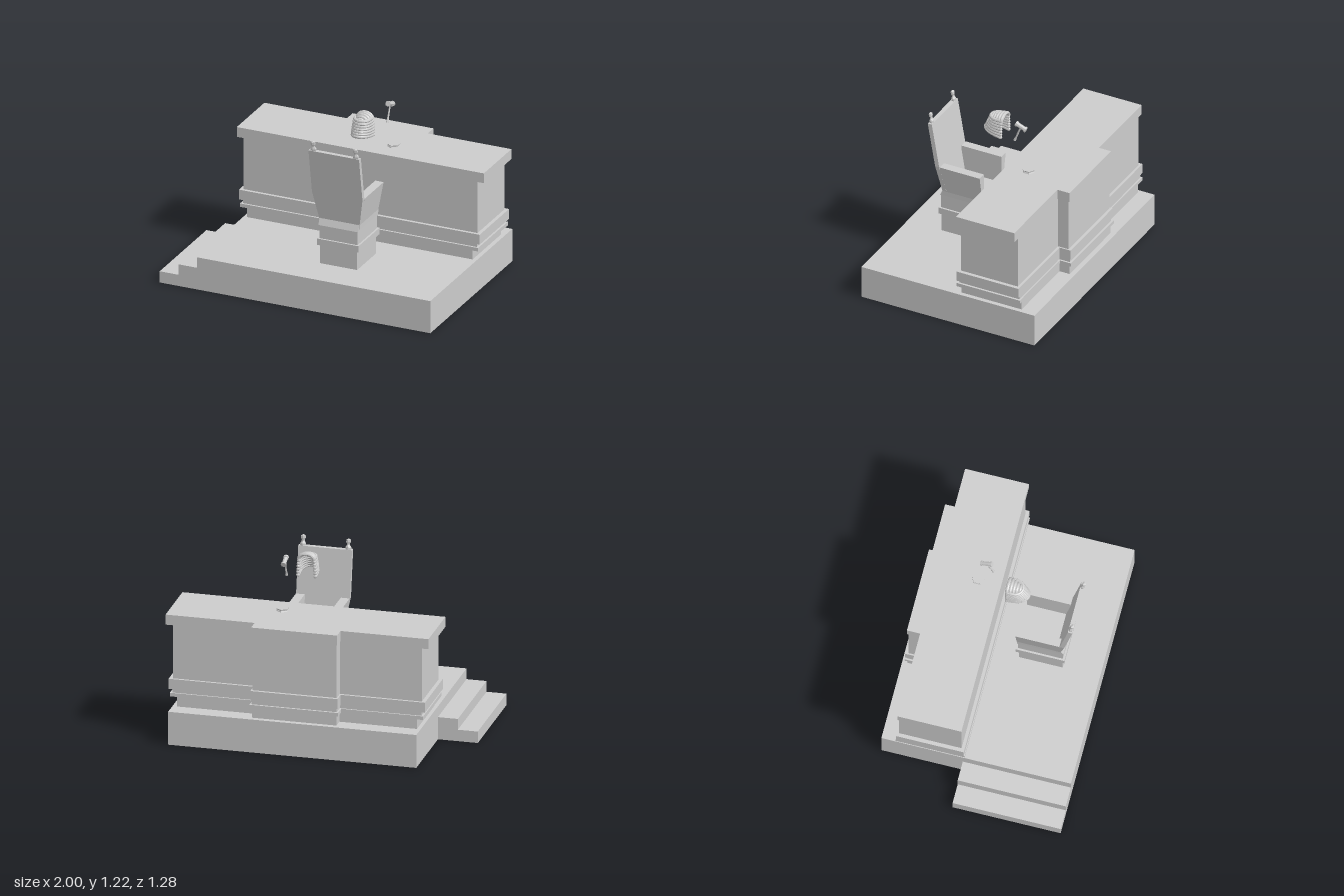
import * as THREE from 'three';

export function createModel() {
  const model = new THREE.Group();
  const stone = new THREE.MeshStandardMaterial({ color: 0xcccccc, flatShading: true });
  stone.name = 'pale grey';

  const add = (name, geometry, parent = model) => {
    const mesh = new THREE.Mesh(geometry, stone);
    mesh.name = name;
    parent.add(mesh);
    return mesh;
  };
  const group = (name, parent = model) => {
    const g = new THREE.Group();
    g.name = name;
    parent.add(g);
    return g;
  };
  // box given by its limits
  const block = (name, x0, x1, y0, y1, z0, z1, parent) =>
    add(name, new THREE.BoxGeometry(x1 - x0, y1 - y0, z1 - z0)
      .translate((x0 + x1) / 2, (y0 + y1) / 2, (z0 + z1) / 2), parent);
  const extrude = (points, depth) => new THREE.ExtrudeGeometry(
    new THREE.Shape(points.map(([x, y]) => new THREE.Vector2(x, y))),
    { depth, bevelEnabled: false });

  // platform with two side steps
  const platform = group('platform');
  block('floor', -0.73, 0.95, 0, 0.23, -0.64, 0.64, platform);
  block('upperStep', -0.865, -0.73, 0, 0.155, -0.09, 0.64, platform);
  block('lowerStep', -1, -0.865, 0, 0.08, -0.09, 0.64, platform);

  // bench: stacked tiers, each with a projecting centre bay
  const bench = group('bench');
  const tier = (name, y0, y1, x0, x1, zIn, zOut, zBay, b0, b1) => {
    const g = extrude([[x0, -zIn], [x1, -zIn], [x1, -zOut], [b1, -zOut],
      [b1, -zBay], [b0, -zBay], [b0, -zOut], [x0, -zOut]], y1 - y0);
    add(name, g.rotateX(-Math.PI / 2).translate(0, y0, 0), bench);
  };
  tier('plinth', 0.23, 0.30, -0.705, 0.92, -0.085, -0.53, -0.605, -0.18, 0.39);
  tier('lowerMoulding', 0.30, 0.325, -0.75, 0.965, -0.072, -0.54, -0.622, -0.195, 0.405);
  tier('groove', 0.325, 0.35, -0.735, 0.95, -0.085, -0.53, -0.608, -0.183, 0.393);
  tier('upperMoulding', 0.35, 0.42, -0.76, 0.975, -0.076, -0.535, -0.617, -0.19, 0.40);
  tier('benchBody', 0.42, 0.79, -0.735, 0.95, -0.097, -0.518, -0.598, -0.18, 0.39);
  tier('benchTop', 0.79, 0.86, -0.78, 1.0, -0.087, -0.518, -0.607, -0.185, 0.397);

  // chair, built about its own middle
  const chair = group('chair');
  chair.position.x = 0.173;
  block('chairFoot', -0.133, 0.133, 0.23, 0.365, 0.093, 0.387, chair);
  block('chairMoulding', -0.15, 0.15, 0.365, 0.41, 0.073, 0.403, chair);
  block('chairBase', -0.137, 0.137, 0.41, 0.505, 0.085, 0.39, chair);
  add('seat', extrude([[-0.395, 0.505], [-0.08, 0.505], [-0.08, 0.55], [-0.375, 0.55]], 0.286)
    .rotateY(Math.PI / 2).translate(-0.143, 0, 0), chair);

  // leaning back, sheared by height
  const back = extrude([[-0.145, 0.545], [0.145, 0.545], [0.182, 0.745],
    [0.182, 1.06], [-0.182, 1.06], [-0.182, 0.745]], 0.03);
  const bp = back.attributes.position;
  for (let i = 0; i < bp.count; i++) {
    bp.setZ(i, bp.getZ(i) + 0.345 + (bp.getY(i) - 0.545) * 0.174);
  }
  add('chairBack', back, chair);

  // flared arms and finials on both sides
  for (const s of [-1, 1]) {
    const profile = [[0.12, 0.51], [0.143, 0.51], [0.144, 0.545], [0.182, 0.745], [0.122, 0.745]];
    const points = profile.map(([x, y]) => [s * x, y]);
    add(s > 0 ? 'leftArm' : 'rightArm', extrude(points, 0.296).translate(0, 0, 0.08), chair);
    const knob = [[0, 0], [0.02, 0], [0.021, 0.018], [0.011, 0.034], [0.011, 0.045],
      [0.017, 0.052], [0.016, 0.07], [0, 0.078]].map(([x, y]) => new THREE.Vector2(x, y));
    const finial = add(s > 0 ? 'leftFinial' : 'rightFinial', new THREE.LatheGeometry(knob, 6), chair);
    finial.position.set(s * 0.153, 1.055, 0.448);
    finial.rotation.x = 0.16;
    finial.scale.z = 0.75;
  }

  // hexagonal sounding block
  const sounder = group('soundBlock');
  sounder.position.set(0.28, 0.86, -0.243);
  [[0.04, 0.044, 0.007, 0.0035], [0.036, 0.036, 0.005, 0.009], [0.044, 0.042, 0.007, 0.0145]]
    .forEach(([rt, rb, h, y]) =>
      add('soundBlockTier', new THREE.CylinderGeometry(rt, rb, h, 6).translate(0, y, 0), sounder));

  // raised gavel
  const gavel = group('gavel');
  gavel.position.set(0.28, 1.185, -0.187);
  gavel.rotation.x = -0.38;
  const rod = (name, r, length, z) =>
    add(name, new THREE.CylinderGeometry(r, r, length, 8).rotateX(Math.PI / 2).translate(0, 0, z), gavel);
  rod('gavelHead', 0.015, 0.08, 0);
  for (const s of [-1, 1]) rod('gavelBand', 0.019, 0.013, s * 0.034);
  add('gavelHandle', new THREE.CylinderGeometry(0.005, 0.007, 0.12, 8).translate(0, -0.06, 0), gavel);
  add('gavelGrip', new THREE.CylinderGeometry(0.007, 0.01, 0.025, 8).translate(0, -0.113, 0), gavel);

  // curled wig: horseshoe rolls, open toward the bench
  const wig = group('wig');
  wig.position.x = 0.18;
  const rows = 7;
  for (let i = 0; i < rows; i++) {
    const t = i / (rows - 1);
    const halfWidth = 0.058 - 0.008 * t * t;
    const rear = 0.123 - 0.04 * t;
    const y = 1.03 + 0.118 * t;
    const tilt = 0.2 * (1 - t);
    const at = (x, z) => new THREE.Vector3(x, y + z * tilt, z);
    const path = [at(-halfWidth, -0.012), at(-halfWidth, 0.03)];
    for (let k = 1; k < 8; k++) {
      const a = Math.PI * (1 - k / 8);
      path.push(at(Math.cos(a) * halfWidth, 0.03 + Math.sin(a) * (rear - 0.03)));
    }
    path.push(at(halfWidth, 0.03), at(halfWidth, -0.012));
    add('wigRoll', new THREE.TubeGeometry(new THREE.CatmullRomCurve3(path), 24, 0.0125, 8), wig);
    for (const s of [-1, 1]) {
      add('wigCurlEnd', new THREE.SphereGeometry(0.0125, 8, 6), wig)
        .position.copy(at(s * halfWidth, -0.012));
    }
  }
  // arched rolls over the crown
  for (let i = 0; i < 5; i++) {
    const r = 0.051 - 0.0018 * i * i;
    add('crownRoll', new THREE.TorusGeometry(r, 0.0125, 8, 16, Math.PI)
      .scale(1, 0.75, 1).translate(0, 1.14, -0.014 + i * 0.02), wig);
  }
  return model;
}
